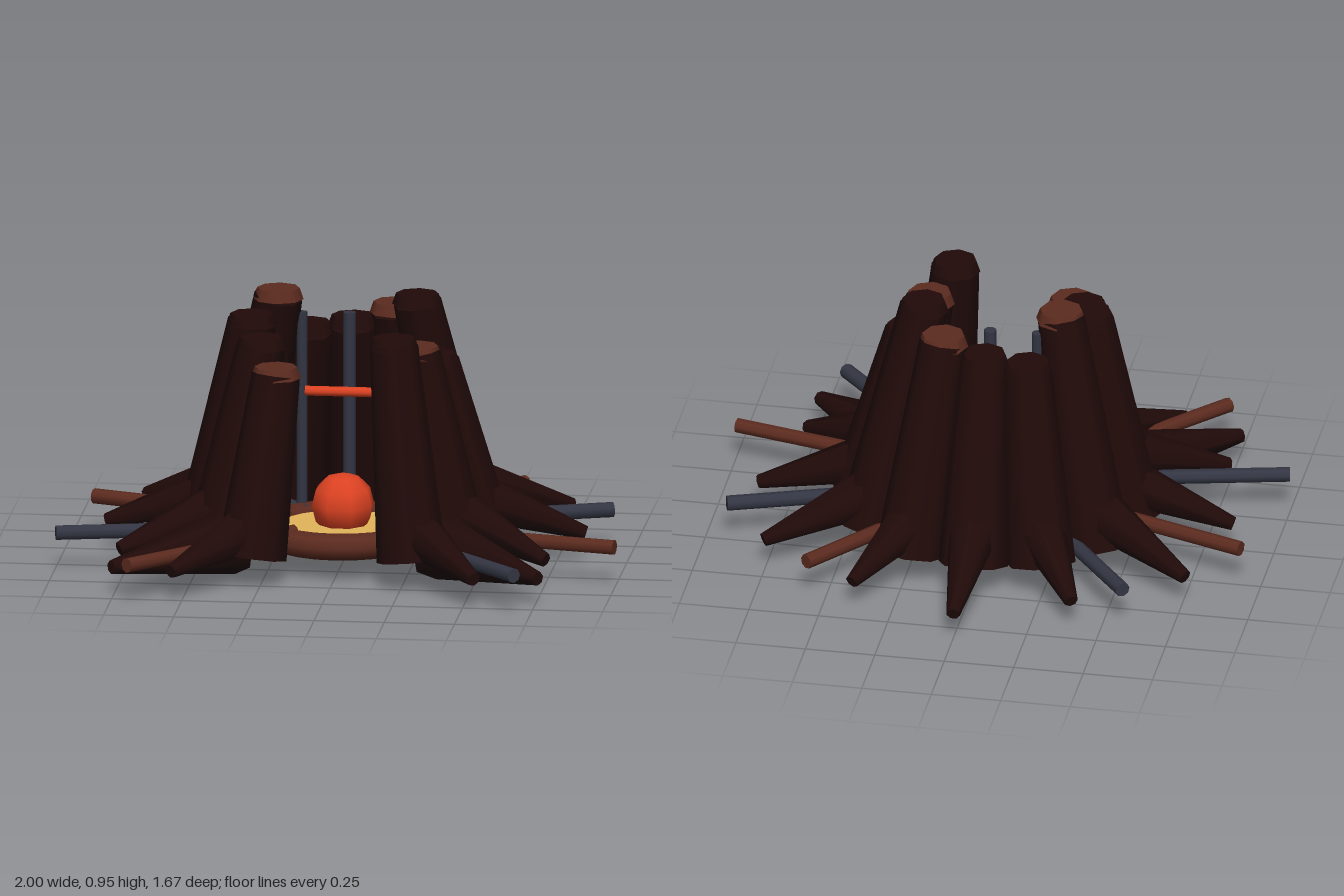
import * as THREE from 'three';

const mat = (name, color) => Object.assign(new THREE.MeshStandardMaterial({ color }), { name });

export function createModel() {
  const bark = mat('dark bark', 0x200a09);
  const wood = mat('brown wood', 0x5c2b1f);
  const metal = mat('dark slate', 0x333643);
  const sand = mat('tan floor', 0xe4b55b);
  const ember = mat('ember red', 0xdc4222);

  const model = new THREE.Group();
  model.name = 'stumpShelter';
  const UP = new THREE.Vector3(0, 1, 0);

  const add = (name, geometry, material, x = 0, y = 0, z = 0) => {
    const mesh = new THREE.Mesh(geometry, material);
    mesh.name = name;
    mesh.position.set(x, y, z);
    model.add(mesh);
    return mesh;
  };

  // Tapered cylinder running from point a to point b
  const strut = (name, a, b, ra, rb, sides, material) => {
    const A = new THREE.Vector3(...a);
    const dir = new THREE.Vector3(...b).sub(A);
    const mesh = add(name, new THREE.CylinderGeometry(rb, ra, dir.length(), sides), material);
    mesh.position.copy(A).addScaledVector(dir, 0.5);
    mesh.quaternion.setFromUnitVectors(UP, dir.normalize());
  };

  // Leaning trunks in a ring, open at the front: base x, z, top x, y, z, cap material
  const trunks = [
    [0.285, 0.45, 0.21, 0.88, 0.345, bark],
    [0.415, 0.25, 0.275, 0.82, 0.2, wood],
    [0.475, 0.02, 0.325, 0.76, 0.06, bark],
    [0.405, -0.225, 0.245, 0.943, -0.08, bark],
    [0.235, -0.39, 0.15, 0.88, -0.21, wood],
    [0, -0.44, 0, 0.825, -0.22, bark],
    [-0.235, -0.39, -0.155, 0.8, -0.21, bark],
    [-0.405, -0.225, -0.25, 0.95, -0.08, wood],
    [-0.475, 0.02, -0.33, 0.885, 0.05, bark],
    [-0.415, 0.25, -0.28, 0.835, 0.2, bark],
    [-0.285, 0.45, -0.21, 0.765, 0.35, wood],
  ];
  for (const [bx, bz, tx, ty, tz, capMat] of trunks) {
    strut('trunk', [bx, 0.096, bz], [tx, ty - 0.03, tz], 0.125, 0.086, 8, bark);
    // Level, slightly bevelled end
    add('trunkCap', new THREE.CylinderGeometry(0.076, 0.09, 0.04, 8), capMat, tx, ty - 0.02, tz);
  }

  // Pointed roots: start x, y, z, tip x, y, z, start radius
  const roots = [
    [0.29, 0.2, 0.42, 0.54, 0.105, 0.75, 0.095],
    [0.36, 0.122, 0.33, 0.76, 0.095, 0.67, 0.122],
    [0.43, 0.225, 0.24, 0.76, 0.105, 0.43, 0.09],
    [0.47, 0.225, 0.02, 0.855, 0.105, 0, 0.09],
    [0.42, 0.225, -0.22, 0.76, 0.105, -0.42, 0.09],
    [0.23, 0.225, -0.38, 0.395, 0.105, -0.67, 0.09],
  ];
  for (const [sx, sy, sz, tx, ty, tz, r] of roots)
    for (const m of [1, -1])
      strut('root', [m * sx, sy, sz], [m * tx, ty, tz], r, 0.025, 7, bark);
  strut('root', [0, 0.23, -0.43], [0, 0.1, -0.83], 0.092, 0.025, 7, bark);

  // Thin rods poking out between the roots, brown and slate alternating
  const rods = [
    [0.16, 0.23, 0.69, 0.81, metal, wood],
    [0.21, 0.16, 0.995, 0.34, wood, metal],
    [0.2, 0.02, 0.925, -0.235, metal, wood],
    [0.15, -0.07, 0.57, -0.61, wood, metal],
  ];
  for (const [ix, iz, ox, oz, leftMat, rightMat] of rods)
    for (const m of [1, -1])
      strut('rod', [m * ix, 0.137, iz], [m * ox, 0.137, oz], 0.027, 0.027, 8, m > 0 ? leftMat : rightMat);

  // Round floor with a wooden rim and a glowing ball in the middle
  add('floor', new THREE.CylinderGeometry(0.25, 0.25, 0.025, 24), sand, 0, 0.128, 0.115);
  add('floorRim', new THREE.TorusGeometry(0.262, 0.049, 8, 24), wood, 0, 0.12, 0.115).rotation.x = Math.PI / 2;
  add('emberBall', new THREE.SphereGeometry(0.115, 8, 6), ember, 0, 0.211, 0.1).rotation.y = Math.PI / 8;

  // Upright posts at the back with a red crossbar
  add('backPost', new THREE.CylinderGeometry(0.023, 0.023, 0.74, 8), metal, 0, 0.49, -0.11);
  add('sidePost', new THREE.CylinderGeometry(0.02, 0.02, 0.74, 8), metal, -0.168, 0.49, -0.1);
  add('crossbar', new THREE.CylinderGeometry(0.018, 0.018, 0.31, 8), ember, 0, 0.576, -0.085).rotation.z = Math.PI / 2;

  return model;
}
